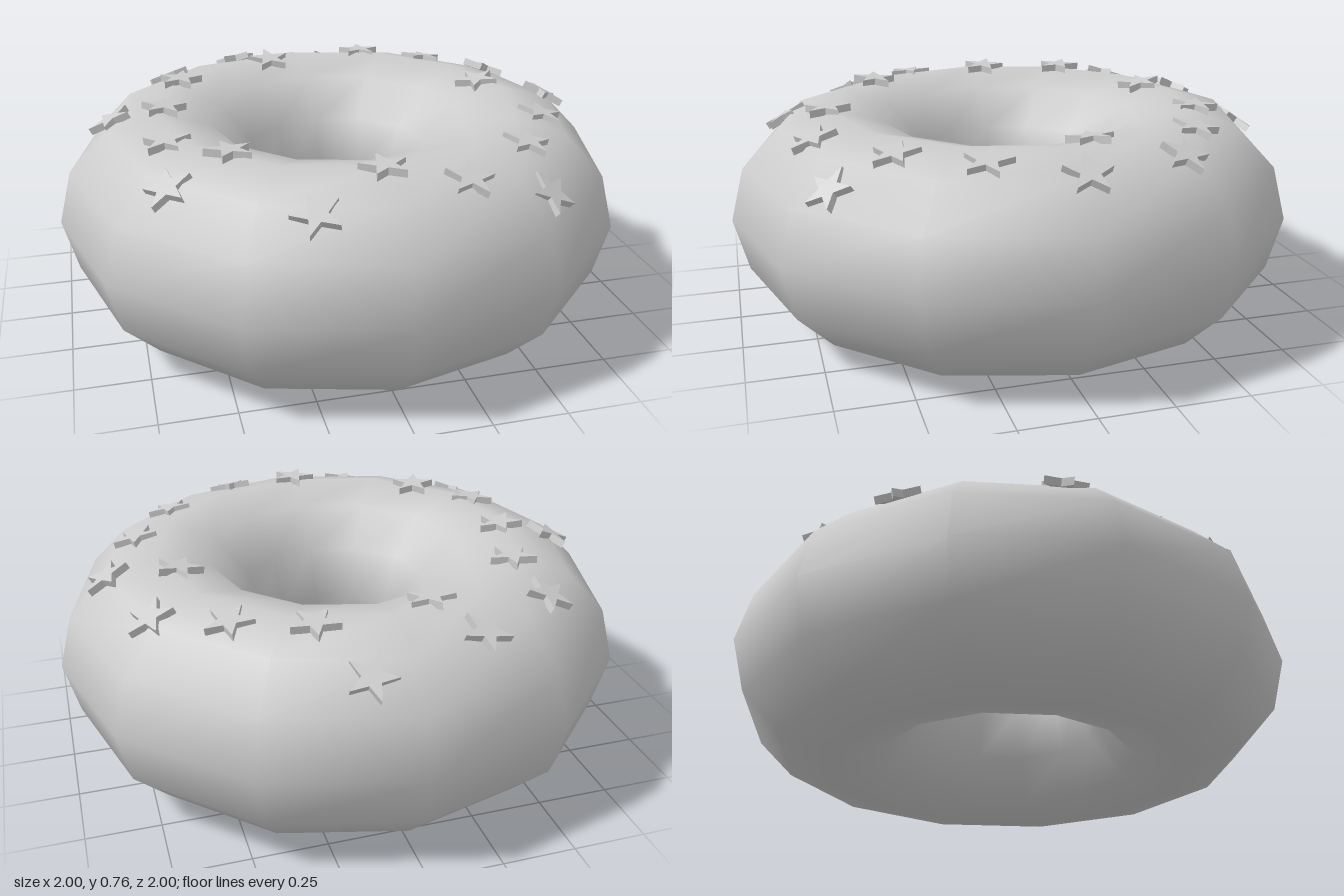
import * as THREE from 'three';

const RING = 0.64, TUBE = 0.36, HALF_H = 0.37, SIDES = 12;

// Star positions seen from above: x, z, clockwise turn in degrees
const STARS = [
  [0.14, -0.83, -3], [-0.25, -0.75, 3], [-0.55, -0.57, 15], [-0.14, -0.57, -6],
  [0.25, -0.62, 8], [0.49, -0.51, 5], [0.71, -0.37, -5], [-0.52, -0.36, 14],
  [-0.79, -0.1, -20], [-0.61, -0.06, 7], [0.58, -0.11, -10], [0.81, -0.02, -12],
  [-0.63, 0.25, 13], [0.68, 0.25, 8], [-0.45, 0.42, -14], [-0.65, 0.5, 10],
  [0.52, 0.5, 10], [-0.01, 0.65, -4], [0.24, 0.72, 10], [0.52, 0.7, 35],
  [-0.25, 0.78, -8],
];

// Height of the faceted ring's upper side at a given x, z
function surfaceHeight(x, z) {
  const step = (2 * Math.PI) / SIDES;
  const angle = Math.atan2(z, x);
  const offset = angle - (Math.floor(angle / step) + 0.5) * step;
  const r = Math.hypot(x, z) * Math.cos(offset) / Math.cos(step / 2);
  const a = Math.acos(THREE.MathUtils.clamp((r - RING) / TUBE, -1, 1));
  const k = Math.floor(a / step);
  const r0 = RING + TUBE * Math.cos(k * step), r1 = RING + TUBE * Math.cos((k + 1) * step);
  const y0 = Math.sin(k * step), y1 = Math.sin((k + 1) * step);
  return HALF_H * (1 + THREE.MathUtils.mapLinear(r, r0, r1, y0, y1));
}

// Flat five-pointed star lying in the xz plane, centred on its thickness
function starGeometry(outer, inner, thickness) {
  const shape = new THREE.Shape();
  for (let i = 0; i < 10; i++) {
    const r = i % 2 ? inner : outer, a = Math.PI / 2 + (i * Math.PI) / 5;
    shape[i ? 'lineTo' : 'moveTo'](r * Math.cos(a), r * Math.sin(a));
  }
  shape.closePath();
  return new THREE.ExtrudeGeometry(shape, { depth: thickness, bevelEnabled: false })
    .translate(0, 0, -thickness / 2).rotateX(-Math.PI / 2);
}

export function createModel() {
  const model = new THREE.Group();
  model.name = 'doughnut';
  const material = new THREE.MeshStandardMaterial({ color: 0xcccccc });

  // Dough ring
  const ring = new THREE.Mesh(
    new THREE.TorusGeometry(RING, TUBE, SIDES, SIDES)
      .rotateX(-Math.PI / 2).scale(1, HALF_H / TUBE, 1).translate(0, HALF_H, 0),
    material);
  ring.name = 'ring';
  model.add(ring);

  // Star sprinkles, each leaning with the curve of the ring
  const sprinkles = new THREE.Group();
  sprinkles.name = 'sprinkles';
  const star = starGeometry(0.083, 0.033, 0.026);
  const up = new THREE.Vector3(0, 1, 0);
  STARS.forEach(([x, z, turn], i) => {
    const r = Math.hypot(x, z), c = (r - RING) / TUBE;
    const normal = new THREE.Vector3((x / r) * c, Math.sqrt(1 - c * c), (z / r) * c);
    const mesh = new THREE.Mesh(star, material);
    mesh.name = `starSprinkle${i + 1}`;
    mesh.position.set(x, surfaceHeight(x, z), z).addScaledVector(normal, 0.007);
    mesh.quaternion.setFromUnitVectors(up, normal);
    mesh.rotateY(-THREE.MathUtils.degToRad(turn));
    sprinkles.add(mesh);
  });
  model.add(sprinkles);
  return model;
}
